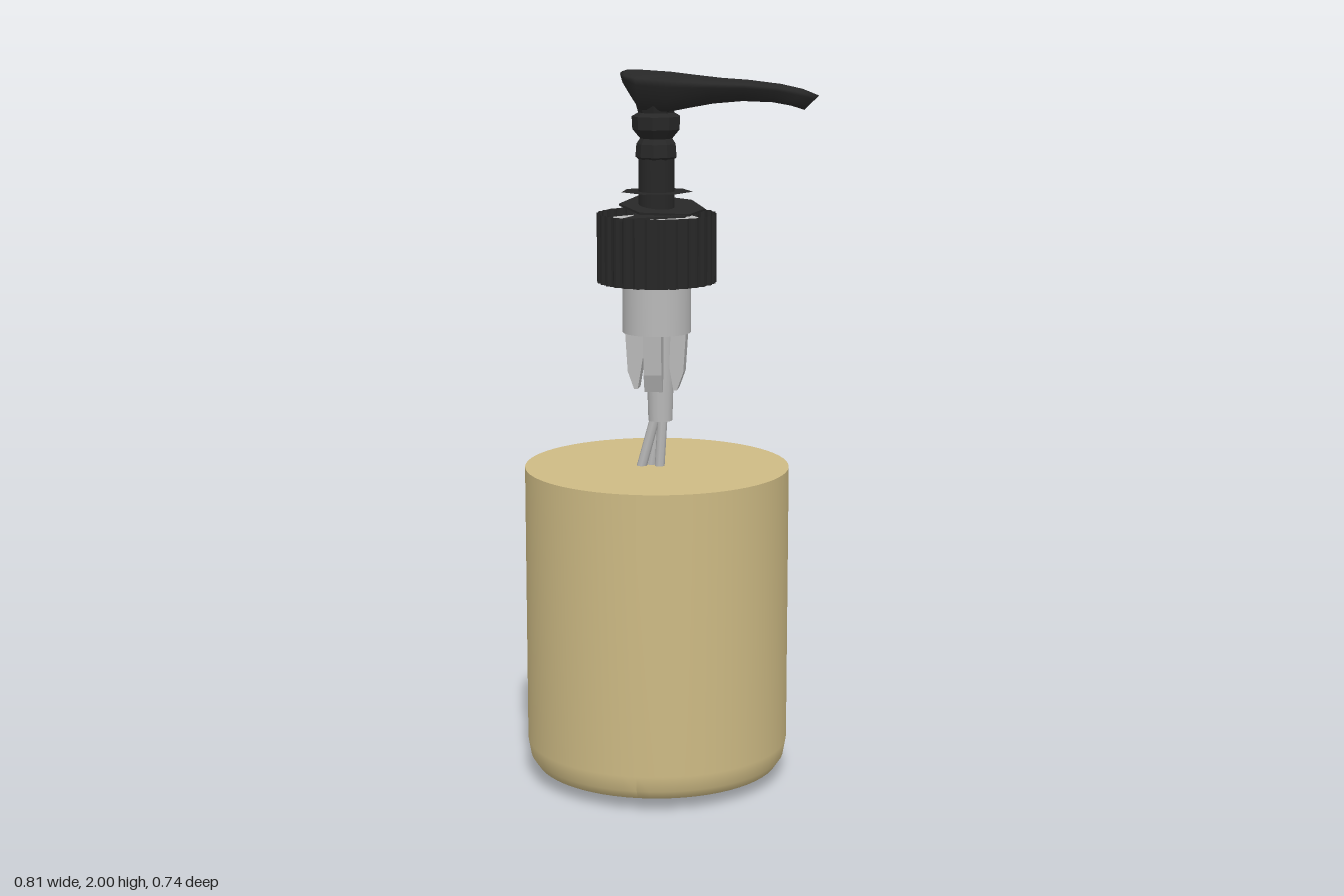
import * as THREE from 'three';

const AXIS = -0.04; // x of the bottle's centre line

const mat = (name, color, extra = {}) => {
  const m = new THREE.MeshStandardMaterial({ color, ...extra });
  m.name = name;
  return m;
};

const lathe = (pts, seg) =>
  new THREE.LatheGeometry(pts.map(([r, y]) => new THREE.Vector2(r, y)), seg);

// Bottle: straight wall, rounded foot, uneven underside with one low dent
function bottleGeometry() {
  const g = lathe([
    [0, 0.055], [0.08, 0.05], [0.16, 0.043], [0.22, 0.037], [0.27, 0.032], [0.31, 0.03],
    [0.345, 0.04], [0.362, 0.065], [0.37, 0.11], [0.37, 0.9],
  ], 64);
  const p = g.attributes.position;
  for (let i = 0; i < p.count; i++) {
    if (p.getY(i) > 0.06) continue;
    const d = Math.hypot(p.getX(i) + 0.16, p.getZ(i) + 0.27);
    p.setY(i, p.getY(i) - 0.03 * Math.max(0, 1 - d / 0.22));
  }
  g.computeVertexNormals();
  return g;
}

// Ribbed open collar: every second pair of wall vertices is pulled in
function collarGeometry() {
  const n = 120;
  const g = new THREE.CylinderGeometry(0.165, 0.165, 0.19, n, 1, true);
  const p = g.attributes.position;
  for (let i = 0; i < p.count; i++) {
    if ((i % (n + 1)) % 4 < 2) continue;
    p.setX(i, p.getX(i) * 0.965);
    p.setZ(i, p.getZ(i) * 0.965);
  }
  return g;
}

// Pump head: sections along x of [x at top, x at bottom, half width, top y, bottom y]
function headGeometry() {
  const sections = [
    [-0.135, -0.13, 0.035, 1.995, 1.965],
    [-0.12, -0.105, 0.07, 2.0, 1.93],
    [-0.085, -0.08, 0.088, 2.0, 1.895],
    [0, 0, 0.095, 1.995, 1.89],
    [0.06, 0.05, 0.09, 1.988, 1.9],
    [0.13, 0.12, 0.08, 1.98, 1.913],
    [0.21, 0.2, 0.065, 1.975, 1.92],
    [0.3, 0.28, 0.045, 1.965, 1.917],
    [0.36, 0.33, 0.033, 1.952, 1.908],
    [0.403, 0.365, 0.025, 1.935, 1.897],
  ];
  // Profile as [share of width, share of height], anticlockwise seen from +x
  const ring = [[-0.5, 0], [-0.75, 0.3], [-0.95, 0.65], [-1, 0.82], [-0.7, 0.95], [0, 1],
    [0.7, 0.95], [1, 0.82], [0.95, 0.65], [0.75, 0.3], [0.5, 0]];
  const n = ring.length, pos = [], idx = [];
  for (const [xt, xb, w, yt, yb] of sections)
    for (const [u, v] of ring) pos.push(xb + (xt - xb) * v, yb + (yt - yb) * v, u * w);
  for (let s = 0; s < sections.length - 1; s++)
    for (let i = 0; i < n; i++) {
      const a = s * n + i, b = s * n + (i + 1) % n;
      idx.push(a, a + n, b, b, a + n, b + n);
    }
  const end = (sections.length - 1) * n;
  for (let i = 1; i < n - 1; i++) {
    idx.push(0, i, i + 1);
    idx.push(end, end + i + 1, end + i);
  }
  const g = new THREE.BufferGeometry();
  g.setAttribute('position', new THREE.Float32BufferAttribute(pos, 3));
  g.setIndex(idx);
  g.computeVertexNormals();
  return g;
}

// Thin flat plate from x, z corners
function plateGeometry(corners) {
  const shape = new THREE.Shape(corners.map(([x, z]) => new THREE.Vector2(x, -z)));
  return new THREE.ExtrudeGeometry(shape, { depth: 0.006, bevelEnabled: false }).rotateX(-Math.PI / 2);
}

export function createModel() {
  const model = new THREE.Group();
  const tan = mat('tan liquid', 0xcdba84);
  const black = mat('black plastic', 0x272727, { side: THREE.DoubleSide });
  const blackFlat = mat('black plastic', 0x272727, { side: THREE.DoubleSide, flatShading: true });
  blackFlat.name = 'faceted black plastic';
  const grey = mat('grey plastic', 0xb9b9b9, { side: THREE.DoubleSide });

  const add = (name, geo, material, x = AXIS, y = 0, z = 0) => {
    const m = new THREE.Mesh(geo, material);
    m.name = name;
    m.position.set(x, y, z);
    model.add(m);
    return m;
  };

  // Bottle
  add('bottle', bottleGeometry(), tan);
  add('bottleTop', new THREE.CircleGeometry(0.37, 64).rotateX(-Math.PI / 2), tan, AXIS, 0.9);

  // Screw collar
  add('collar', collarGeometry(), blackFlat, AXIS, 1.515);
  add('collarFlap', plateGeometry([[-0.06, -0.1], [0.05, -0.13], [0.13, -0.06], [0.03, -0.09]]),
    black, AXIS, 1.41);

  // Pump chamber, its flange and the nozzle beneath
  add('chamber', new THREE.CylinderGeometry(0.095, 0.095, 0.31, 32), grey, AXIS, 1.435);
  add('flange', plateGeometry([[-0.13, -0.06], [-0.06, -0.135], [0.07, -0.14], [0.12, -0.05],
    [0.11, 0.07], [-0.03, 0.135], [-0.12, 0.07]]), grey, AXIS, 1.585);
  add('nozzle', new THREE.CylinderGeometry(0.042, 0.034, 0.26, 16), grey, AXIS + 0.01, 1.16);
  const finShape = new THREE.Shape([[0.03, 1.28], [0.03, 1.24], [0.05, 1.12], [0.06, 1.12],
    [0.078, 1.17], [0.085, 1.28]].map(([r, y]) => new THREE.Vector2(r, y)));
  for (let i = 0; i < 4; i++) {
    const fin = new THREE.ExtrudeGeometry(finShape, { depth: 0.05, bevelEnabled: false });
    fin.translate(0, 0, -0.025);
    add('chamberFin' + i, fin, grey).rotation.y = i * Math.PI / 2;
  }

  // Dip tube strands, spreading as they enter the liquid
  for (const [x, z] of [[-0.085, 0.01], [-0.06, -0.012], [-0.032, 0.006]]) {
    const path = new THREE.LineCurve3(
      new THREE.Vector3(-0.03 + (x + 0.06) * 0.3, 1.06, z), new THREE.Vector3(x, 0.885, z));
    add('dipTube', new THREE.TubeGeometry(path, 1, 0.014, 8), grey, 0);
  }

  // Broken lid plates around the stem
  const lid = add('lid', plateGeometry([[-0.1, 0.03], [-0.06, -0.125], [0.08, -0.12],
    [0.13, -0.03], [0.1, 0.06], [-0.03, 0.11]]), black, AXIS, 1.625);
  lid.rotation.set(0.1, 0, -0.1);
  const lower = add('lowerLid', plateGeometry([[-0.06, -0.08], [0.07, -0.17], [0.1, -0.12],
    [0.09, 0.07], [-0.08, 0.15], [-0.05, 0.09]]), black, AXIS, 1.61);
  lower.rotation.x = 0.05;
  add('washer', new THREE.RingGeometry(0.05, 0.1, 7).rotateX(-Math.PI / 2), black, AXIS, 1.67);

  // Stem and faceted neck
  add('stem', new THREE.CylinderGeometry(0.05, 0.05, 0.18, 16), black, AXIS, 1.69);
  add('neck', lathe([[0.04, 1.75], [0.058, 1.765], [0.055, 1.8], [0.045, 1.815], [0.066, 1.84],
    [0.068, 1.875], [0.05, 1.885], [0.06, 1.92]], 9), blackFlat);

  // Head and spout
  add('pumpHead', headGeometry(), black, 0);
  return model;
}
